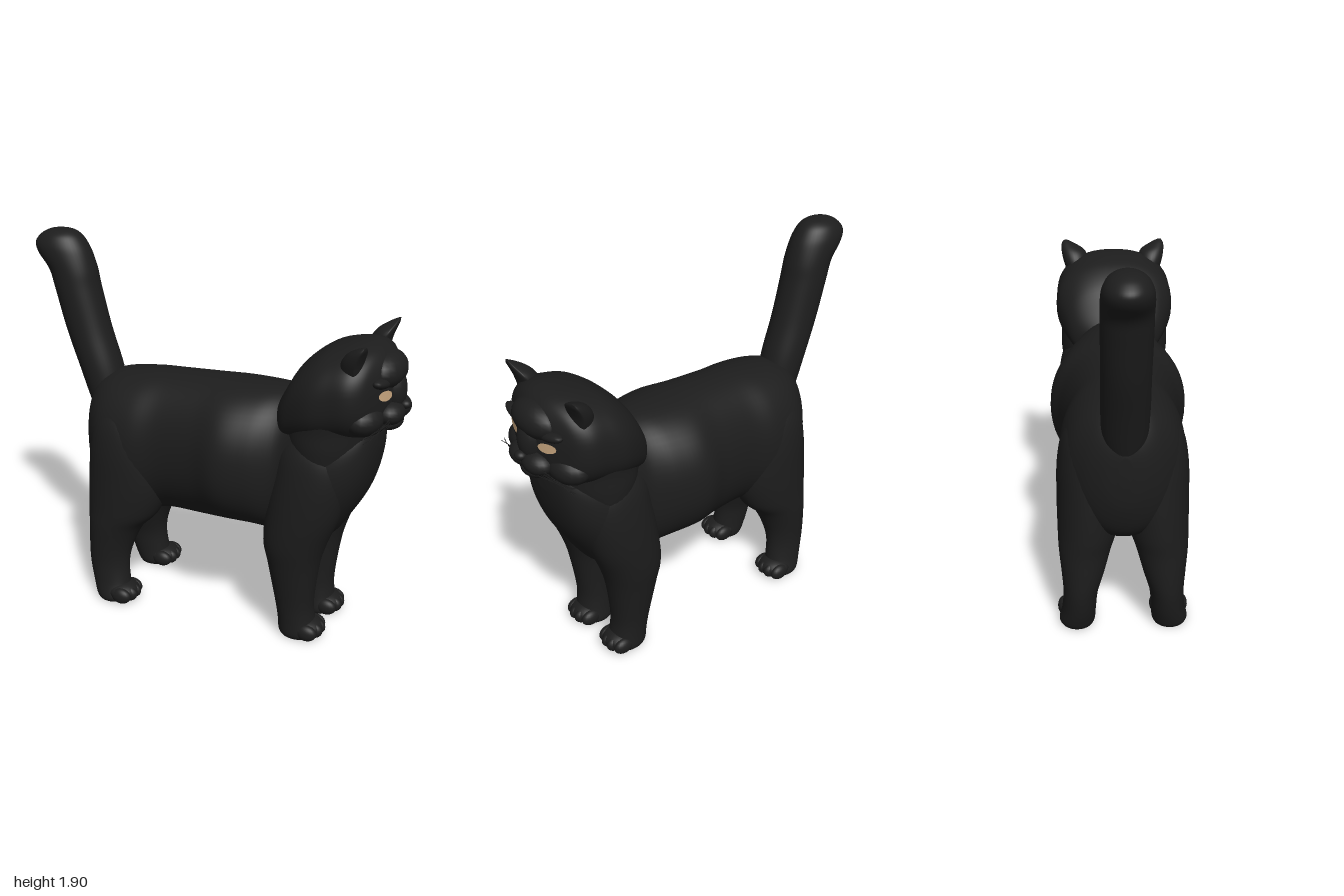
import * as THREE from 'three';

const fur = new THREE.MeshStandardMaterial({ color: 0x1d1d1d });
fur.name = 'black fur';
const amber = new THREE.MeshStandardMaterial({ color: 0xcdaa82, side: THREE.DoubleSide });
amber.name = 'amber eye';

// Catmull-Rom blend between neighbouring sections
function sectionAt(list, u) {
  const i = Math.min(Math.floor(u), list.length - 2), f = u - i;
  const at = (k) => list[Math.max(0, Math.min(list.length - 1, k))];
  return list[i].map((p1, c) => {
    const p0 = at(i - 1)[c], p2 = at(i + 1)[c], p3 = at(i + 2)[c];
    return p1 + 0.5 * f * (p2 - p0 + f * (2 * p0 - 5 * p1 + 4 * p2 - p3 + f * (3 * (p1 - p2) + p3 - p0)));
  });
}

// Skin through sections [t, a0, a1, b0, b1]; along x: a = y, b = z; along y: a = x, b = z
function loft(list, axis, { power = 2, sides = 40, steps = 6, scoop = 1 } = {}) {
  const pos = [], index = [], rings = (list.length - 1) * steps;
  const put = (t, a, b) => (axis === 'x' ? pos.push(t, a, b) : pos.push(a, t, b));
  const tri = (a, b, c) => (axis === 'x' ? index.push(a, c, b) : index.push(a, b, c));
  const round = (v) => Math.sign(v) * Math.abs(v) ** (2 / power);
  for (let i = 0; i <= rings; i++) {
    const [t, a0, a1, b0, b1] = sectionAt(list, i / steps);
    for (let j = 0; j < sides; j++) {
      const q = (j / sides) * Math.PI * 2, c = round(Math.cos(q));
      put(t, (a0 + a1) / 2 + ((a1 - a0) / 2) * c * (c > 0 ? scoop : 1), (b0 + b1) / 2 + ((b1 - b0) / 2) * round(Math.sin(q)));
    }
  }
  for (let i = 0; i < rings; i++) for (let j = 0; j < sides; j++) {
    const a = i * sides + j, b = i * sides + ((j + 1) % sides);
    tri(a, a + sides, b);
    tri(b, a + sides, b + sides);
  }
  // end caps
  for (const [s, base] of [[list[0], 0], [list[list.length - 1], rings * sides]]) {
    const centre = pos.length / 3;
    put(s[0], (s[1] + s[2]) / 2, (s[3] + s[4]) / 2);
    for (let j = 0; j < sides; j++) {
      const a = base + j, b = base + ((j + 1) % sides);
      if (base) tri(centre, b, a); else tri(centre, a, b);
    }
  }
  const g = new THREE.BufferGeometry();
  g.setAttribute('position', new THREE.Float32BufferAttribute(pos, 3));
  g.setIndex(index);
  g.computeVertexNormals();
  return g;
}

const symmetric = (list) => list.map(([x, y0, y1, w]) => [x, y0, y1, -w, w]);
// z range of a left-hand part, flipped for the right
const onSide = (list, s) => list.map(([y, x0, x1, z0, z1]) => (s > 0 ? [y, x0, x1, z0, z1] : [y, x0, x1, -z1, -z0]));

export function createModel() {
  const cat = new THREE.Group();
  cat.name = 'cat';
  const add = (name, geometry, material = fur) => {
    const m = new THREE.Mesh(geometry, material);
    m.name = name;
    cat.add(m);
    return m;
  };
  const ball = (name, x, y, z, rx, ry, rz, tilt = 0) => {
    const m = add(name, new THREE.SphereGeometry(1, 20, 14));
    m.position.set(x, y, z);
    m.scale.set(rx, ry, rz);
    m.rotation.x = tilt;
  };

  // trunk and chest
  add('body', loft(symmetric([
    [-0.692, 0.84, 0.98, 0.03], [-0.675, 0.7, 1.07, 0.11], [-0.62, 0.56, 1.165, 0.2], [-0.52, 0.5, 1.21, 0.277],
    [-0.36, 0.48, 1.235, 0.303], [-0.2, 0.51, 1.247, 0.282], [0, 0.518, 1.255, 0.305], [0.15, 0.53, 1.258, 0.347],
    [0.3, 0.525, 1.262, 0.315], [0.43, 0.5, 1.265, 0.258], [0.55, 0.5, 1.27, 0.28], [0.66, 0.54, 1.26, 0.28],
    [0.75, 0.67, 1.24, 0.25], [0.815, 0.79, 1.21, 0.2], [0.85, 0.91, 1.18, 0.14], [0.868, 1.03, 1.14, 0.05],
  ]), 'x', { power: 2.15, sides: 56 }));

  // neck ruff joining head and shoulders
  add('neck', loft([
    [0.8, 0.5, 0.74, -0.16, 0.16], [0.93, 0.44, 0.82, -0.26, 0.26], [1.04, 0.41, 0.852, -0.285, 0.285],
    [1.14, 0.4, 0.872, -0.285, 0.285], [1.24, 0.41, 0.88, -0.287, 0.287], [1.36, 0.47, 0.85, -0.25, 0.25],
  ], 'y', { sides: 48 }));

  // upright tail with a full rounded tip
  add('tail', loft([
    [0.95, -0.675, -0.5, -0.06, 0.06], [1.02, -0.7, -0.5, -0.1, 0.1], [1.2, -0.763, -0.535, -0.112, 0.112],
    [1.4, -0.835, -0.598, -0.112, 0.112], [1.6, -0.89, -0.65, -0.115, 0.115], [1.7, -0.922, -0.67, -0.115, 0.115],
    [1.78, -0.985, -0.695, -0.115, 0.115], [1.83, -0.998, -0.72, -0.107, 0.107], [1.87, -0.965, -0.752, -0.085, 0.085],
    [1.893, -0.92, -0.79, -0.05, 0.05], [1.9, -0.88, -0.83, -0.015, 0.015],
  ], 'y'));

  // head
  const head = add('head', loft(symmetric([
    [0.38, 1.08, 1.21, 0.12], [0.43, 1.03, 1.3, 0.215], [0.5, 1.03, 1.415, 0.268], [0.6, 1.05, 1.495, 0.308],
    [0.7, 1.07, 1.53, 0.308], [0.78, 1.085, 1.54, 0.3], [0.84, 1.1, 1.53, 0.262], [0.88, 1.12, 1.505, 0.197],
    [0.907, 1.14, 1.47, 0.13], [0.925, 1.19, 1.42, 0.055],
  ]), 'x', { power: 2.4, sides: 56 }));
  head.updateMatrixWorld(true);
  const ray = new THREE.Raycaster();
  const faceX = (y, z) => {
    ray.set(new THREE.Vector3(2, y, z), new THREE.Vector3(-1, 0, 0));
    return ray.intersectObject(head)[0].point.x;
  };

  ball('forehead', 0.872, 1.415, 0, 0.094, 0.09, 0.15);
  ball('noseBridge', 0.915, 1.32, 0, 0.058, 0.11, 0.066);
  ball('nose', 0.972, 1.258, 0, 0.028, 0.022, 0.03);
  ball('chin', 0.9, 1.17, 0, 0.065, 0.045, 0.08);

  for (const s of [1, -1]) {
    const side = s > 0 ? 'left' : 'right';
    ball(side + 'Muzzle', 0.915, 1.225, s * 0.05, 0.07, 0.056, 0.088);
    ball(side + 'Cheek', 0.82, 1.215, s * 0.15, 0.095, 0.08, 0.125);
    ball(side + 'Brow', faceX(1.385, s * 0.125) - 0.015, 1.384, s * 0.125, 0.036, 0.026, 0.09, -s * 0.22);

    // scooped ear opening forward
    add(side + 'Ear', loft(onSide([
      [1.42, 0.71, 0.87, 0.14, 0.25], [1.49, 0.725, 0.88, 0.14, 0.272], [1.535, 0.755, 0.885, 0.155, 0.28],
      [1.565, 0.8, 0.875, 0.205, 0.279], [1.583, 0.838, 0.855, 0.245, 0.268],
    ], s), 'y', { scoop: 0.3, sides: 28 }));

    // almond eye laid on the face
    const eye = new THREE.CircleGeometry(1, 28), p = eye.attributes.position;
    for (let i = 0; i < p.count; i++) {
      const u = p.getX(i), v = p.getY(i);
      const z = 0.127 + u * 0.05, y = 1.33 + v * (v > 0 ? 0.024 : 0.026) + u * 0.007;
      p.setXYZ(i, faceX(y, s * z) + 0.008, y, s * z);
    }
    // keep corner order facing forward on both sides
    if (s > 0) eye.index.array.reverse();
    eye.computeVertexNormals();
    add(side + 'Eye', eye, amber);

    // whiskers
    for (let k = 0; k < 6; k++) {
      const y = 1.235 - k * 0.011;
      const curve = new THREE.QuadraticBezierCurve3(
        new THREE.Vector3(0.945, y, s * 0.085),
        new THREE.Vector3(0.945 - k * 0.006, y - 0.01, s * 0.19),
        new THREE.Vector3(0.9 - k * 0.012, y - 0.07 + (k % 2) * 0.025, s * (0.285 - k * 0.012)));
      add(side + 'Whisker', new THREE.TubeGeometry(curve, 8, 0.0018, 4));
    }

    // legs
    add(side + 'FrontLeg', loft(onSide([
      [0, 0.45, 0.62, 0.055, 0.22], [0.025, 0.435, 0.635, 0.045, 0.232], [0.1, 0.43, 0.615, 0.05, 0.235],
      [0.2, 0.415, 0.61, 0.05, 0.245], [0.4, 0.38, 0.635, 0.035, 0.28], [0.53, 0.355, 0.67, 0.015, 0.302],
      [0.7, 0.37, 0.735, 0.01, 0.31], [0.88, 0.4, 0.77, 0.02, 0.305], [1.02, 0.43, 0.75, 0.05, 0.282],
      [1.14, 0.5, 0.68, 0.1, 0.22],
    ], s), 'y', { power: 2.15 }));
    add(side + 'BackLeg', loft(onSide([
      [0, -0.565, -0.4, 0.15, 0.305], [0.025, -0.58, -0.385, 0.14, 0.315], [0.1, -0.605, -0.4, 0.135, 0.3],
      [0.2, -0.625, -0.408, 0.125, 0.293], [0.3, -0.63, -0.39, 0.095, 0.3], [0.42, -0.63, -0.335, 0.06, 0.312],
      [0.52, -0.637, -0.245, 0.025, 0.316], [0.68, -0.635, -0.19, 0.0, 0.318], [0.86, -0.62, -0.2, 0.0, 0.312],
      [1.0, -0.59, -0.25, 0.03, 0.282], [1.12, -0.52, -0.34, 0.08, 0.21],
    ], s), 'y'));

    // paws with four soft toes each
    for (const [name, x, z] of [['FrontPaw', 0.603, 0.14], ['BackPaw', -0.407, 0.228]]) {
      ball(side + name, x - 0.02, 0.05, s * z, 0.08, 0.049, 0.092);
      for (let k = 0; k < 4; k++) {
        const o = k - 1.5;
        ball(side + name + 'Toe', x + 0.014 - 0.008 * o * o, 0.043, s * z + o * 0.042, 0.056, 0.043, 0.032);
      }
    }
  }
  return cat;
}
